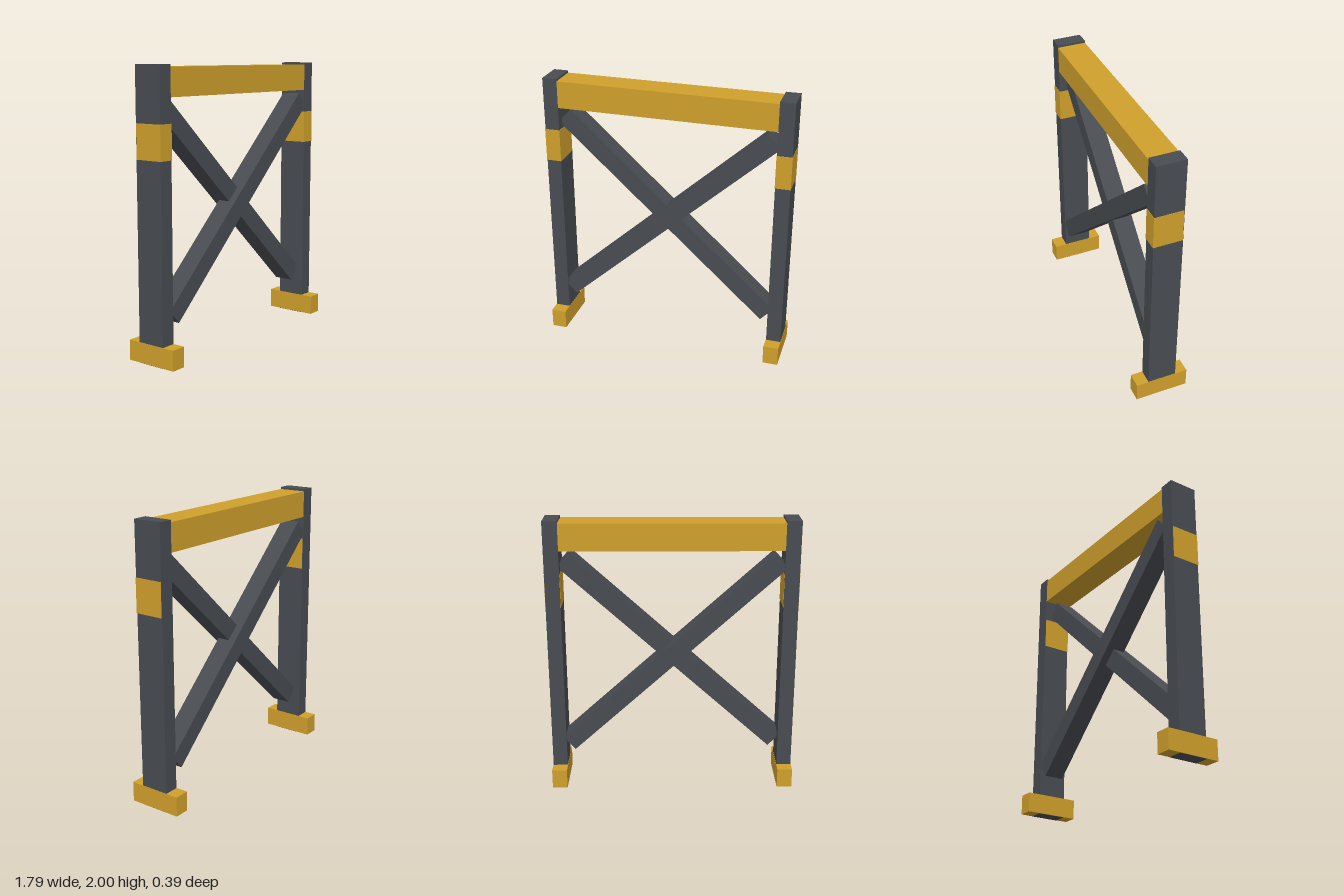
import * as THREE from 'three';

const yellow = new THREE.MeshStandardMaterial({ color: 0xd0a02c });
yellow.name = 'safety yellow';
const steel = new THREE.MeshStandardMaterial({ color: 0x484c51 });
steel.name = 'dark steel';

export function createModel() {
  const model = new THREE.Group();
  model.name = 'bracedFrame';

  const box = (name, size, position, material) => {
    const mesh = new THREE.Mesh(new THREE.BoxGeometry(...size), material);
    mesh.name = name;
    mesh.position.set(...position);
    model.add(mesh);
    return mesh;
  };

  // Posts with their feet and marker bands
  for (const [side, s] of [['left', 1], ['right', -1]]) {
    const x = s * 0.838;
    box(side + 'Post', [0.106, 2, 0.21], [x, 1, 0], steel);
    // foot sits a hair above the post's lower end, which stays visible below
    box(side + 'Foot', [0.11, 0.143, 0.39], [x, 0.0735, 0], yellow);
    // band wraps the front and both sides, leaving the back of the post bare
    box(side + 'Band', [0.11, 0.238, 0.21], [x, 1.502, 0.003], yellow);
  }

  // Top beam between the posts
  box('topBeam', [1.58, 0.195, 0.208], [0, 1.887, 0], yellow);

  // Crossed braces, one set forward and one set back
  for (const [name, s] of [['frontBrace', 1], ['backBrace', -1]]) {
    const brace = box(name, [2.068, 0.133, 0.145], [0, 1.02, s * 0.0275], steel);
    brace.rotation.z = s * 0.738;
  }

  return model;
}
